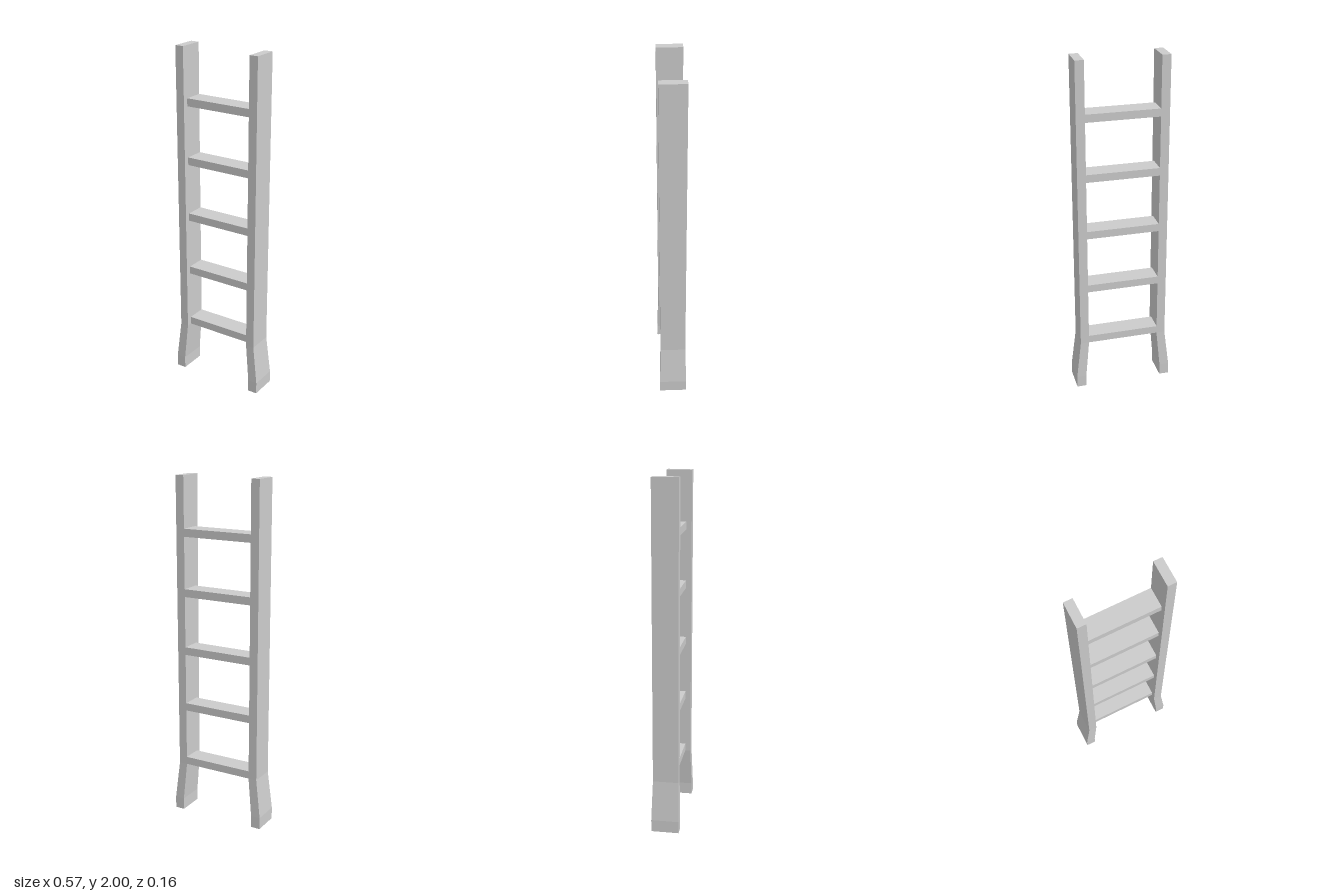
import * as THREE from 'three';

const material = new THREE.MeshStandardMaterial({ color: 0xcccccc, flatShading: true });

// Cross-sections of a side rail from the foot up: height, inner x, outer x, half depth
const SECTIONS = [
  [0, 0.231, 0.287, 0.079],
  [0.07, 0.231, 0.287, 0.079],
  [0.3, 0.209, 0.259, 0.073],
  [2, 0.209, 0.259, 0.073],
];

// Side rail: a box with three height segments, each row fitted to its section
function makeRail(side) {
  const geometry = new THREE.BoxGeometry(1, 1, 1, 1, 3, 1);
  const p = geometry.attributes.position;
  for (let i = 0; i < p.count; i++) {
    const [y, inner, outer, depth] = SECTIONS[Math.round((p.getY(i) + 0.5) * 3)];
    const x = side * (inner + outer) / 2 + p.getX(i) * (outer - inner);
    p.setXYZ(i, x, y, p.getZ(i) * 2 * depth);
  }
  geometry.computeVertexNormals();
  const rail = new THREE.Mesh(geometry, material);
  rail.name = side > 0 ? 'leftRail' : 'rightRail';
  return rail;
}

export function createModel() {
  const ladder = new THREE.Group();
  ladder.name = 'ladder';
  ladder.add(makeRail(1), makeRail(-1));

  // Flat rungs, flush with the back of the rails and set in at the front
  const rungGeometry = new THREE.BoxGeometry(0.418, 0.045, 0.115);
  for (let i = 0; i < 5; i++) {
    const rung = new THREE.Mesh(rungGeometry, material);
    rung.name = `rung${i + 1}`;
    rung.position.set(0, 0.323 + i * 0.341, -0.0155);
    ladder.add(rung);
  }
  return ladder;
}
